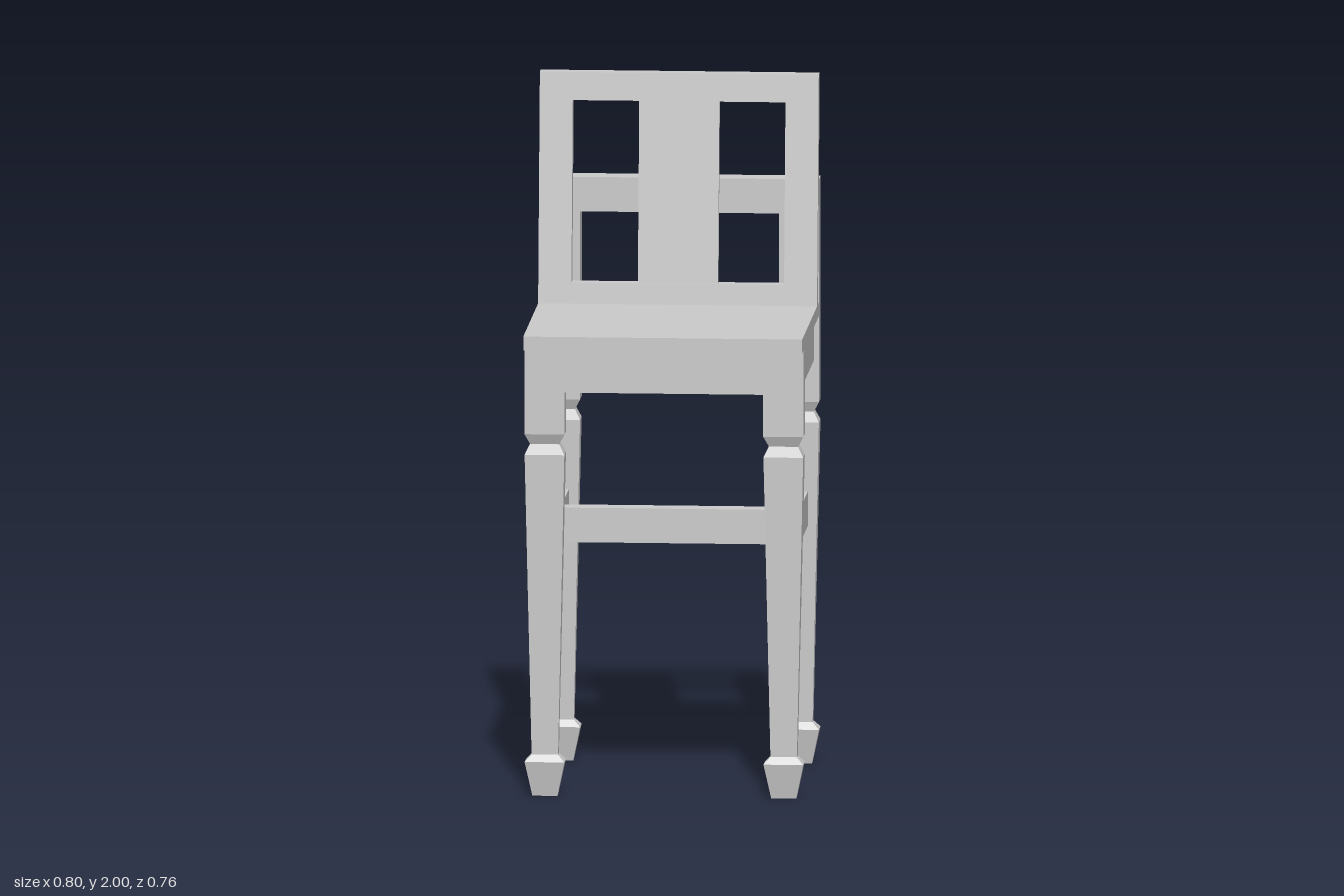
import * as THREE from 'three';

const material = new THREE.MeshStandardMaterial({ color: 0xcccccc, flatShading: true });

function addMesh(parent, name, geometry) {
  const mesh = new THREE.Mesh(geometry, material);
  mesh.name = name;
  parent.add(mesh);
  return mesh;
}

// Box given by its lower and upper limits on each axis
function addBox(parent, name, [x0, x1], [y0, y1], [z0, z1]) {
  const mesh = addMesh(parent, name, new THREE.BoxGeometry(x1 - x0, y1 - y0, z1 - z0));
  mesh.position.set((x0 + x1) / 2, (y0 + y1) / 2, (z0 + z1) / 2);
  return mesh;
}

// Rectangular leg whose half width and half depth vary with height
function legGeometry(top) {
  const rows = [ // y, half width, half depth
    [0, 0.036, 0.016],
    [0.1, 0.057, 0.034],
    [0.12, 0.038, 0.018],
    [0.99, 0.057, 0.034],
    [1.02, 0.042, 0.023],
    [1.05, 0.0575, 0.035],
    [top, 0.0575, 0.035],
  ];
  const n = rows.length - 1;
  const geometry = new THREE.BoxGeometry(2, n, 2, 1, n, 1);
  const p = geometry.attributes.position;
  for (let i = 0; i < p.count; i++) {
    const [y, w, d] = rows[Math.round(p.getY(i) + n / 2)];
    p.setXYZ(i, p.getX(i) * w, y, p.getZ(i) * d);
  }
  const flat = geometry.toNonIndexed();
  flat.computeVertexNormals();
  return flat;
}

// Leans a geometry backwards from the seat surface
function lean(geometry) {
  const p = geometry.attributes.position;
  for (let i = 0; i < p.count; i++) {
    p.setZ(i, p.getZ(i) - (p.getY(i) - 1.34) * 0.108);
  }
  geometry.computeVertexNormals();
  return geometry;
}

function rectangle(Type, x, y0, y1) {
  const r = new Type();
  r.moveTo(-x, y0);
  r.lineTo(x, y0);
  r.lineTo(x, y1);
  r.lineTo(-x, y1);
  r.closePath();
  return r;
}

export function createModel() {
  const chair = new THREE.Group();
  chair.name = 'chair';

  // Seat board
  addBox(chair, 'seat', [-0.4, 0.4], [1.3, 1.34], [-0.307, 0.38]);

  // Legs, side aprons and side stretchers
  for (const side of [-1, 1]) {
    const label = side > 0 ? 'left' : 'right';
    addMesh(chair, label + 'FrontLeg', legGeometry(1.3)).position.set(side * 0.3425, 0, 0.3);
    addMesh(chair, label + 'BackLeg', legGeometry(1.695)).position.set(side * 0.3425, 0, -0.342);

    const apron = addBox(chair, label + 'Apron', [-0.025, 0.025], [1.17, 1.3], [-0.32, 0.28]);
    apron.position.x = side * 0.36;
    const stretcher = addBox(chair, label + 'Stretcher', [-0.025, 0.025], [0.69, 0.79], [-0.33, 0.29]);
    stretcher.position.x = side * 0.3425;
  }

  // Cross pieces
  addBox(chair, 'frontApron', [-0.29, 0.29], [1.17, 1.3], [0.275, 0.325]);
  addBox(chair, 'backApron', [-0.29, 0.29], [1.17, 1.3], [-0.367, -0.317]);
  addBox(chair, 'crossStretcher', [-0.33, 0.33], [0.69, 0.79], [-0.03, 0.03]);
  addBox(chair, 'backTopRail', [-0.286, 0.286], [1.595, 1.695], [-0.377, -0.307]);

  // Leaning backrest frame with one opening
  const outline = rectangle(THREE.Shape, 0.4, 1.34, 2);
  outline.holes.push(rectangle(THREE.Path, 0.305, 1.4, 1.92));
  const frame = new THREE.ExtrudeGeometry(outline, { depth: 0.04, bevelEnabled: false });
  frame.translate(0, 0, -0.266);
  addMesh(chair, 'backrestFrame', lean(frame));

  // Thinner splat inside the frame
  const splat = new THREE.BoxGeometry(0.23, 0.52, 0.022);
  splat.translate(0, 1.66, -0.246);
  addMesh(chair, 'backrestSplat', lean(splat));

  return chair;
}
